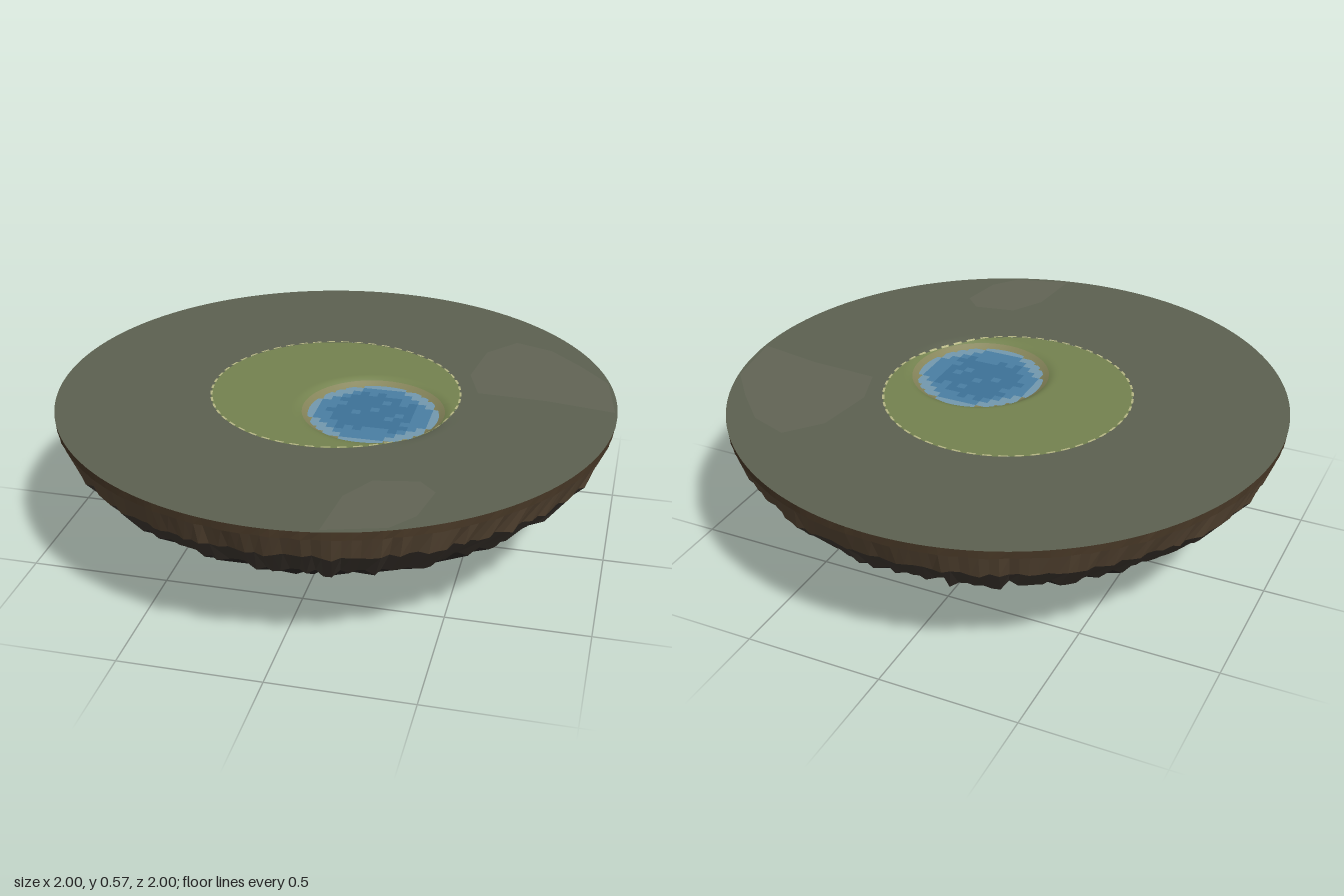
import * as THREE from 'three';
import { mergeGeometries } from 'three/addons/utils/BufferGeometryUtils.js';

const TOP = 0.57, RING = 0.447;
const POND = { x: 0.16, z: 0.105, r: 0.228, depth: 0.035 };
const CELL = 0.031;

// small seeded random
function makeRandom(seed) {
  return () => {
    seed = (seed * 1664525 + 1013904223) % 4294967296;
    return seed / 4294967296;
  };
}

// ground height: flat, dipping smoothly into the pond basin
function height(x, z) {
  const d = Math.hypot(x - POND.x, z - POND.z);
  return TOP - POND.depth * (1 - THREE.MathUtils.smoothstep(d, 0.2, 0.28));
}

function addMesh(group, name, geometry, color, flatShading = false) {
  const material = new THREE.MeshStandardMaterial({ color, flatShading, roughness: 1 });
  const mesh = new THREE.Mesh(geometry, material);
  mesh.name = name;
  group.add(mesh);
  return mesh;
}

// lay a flat XY geometry on the ground
function drape(geometry, x = 0, z = 0, lift = 0) {
  geometry.rotateX(-Math.PI / 2).translate(x, 0, z);
  const p = geometry.attributes.position;
  for (let i = 0; i < p.count; i++) p.setY(i, height(p.getX(i), p.getZ(i)) + lift);
  geometry.computeVertexNormals();
  return geometry;
}

// one ragged band of rock between two rings of points
function bandGeometry(upper, lower) {
  const pos = [], index = [], n = upper.length;
  for (const p of [...upper, ...lower]) pos.push(p.x, p.y, p.z);
  for (let i = 0; i < n; i++) {
    const j = (i + 1) % n;
    index.push(i, j, n + i, j, n + j, n + i);
  }
  const g = new THREE.BufferGeometry();
  g.setAttribute('position', new THREE.Float32BufferAttribute(pos, 3));
  // angle grows from +x toward -z, so flip the winding to face outward
  for (let k = 0; k < index.length; k += 3) [index[k + 1], index[k + 2]] = [index[k + 2], index[k + 1]];
  g.setIndex(index);
  g.computeVertexNormals();
  return g;
}

function addRock(group) {
  const random = makeRandom(17), n = 200;
  const column = Array.from({ length: n }, () => random());
  // radius, height, radial roughness, vertical roughness
  const levels = [
    [1.0, TOP, 0, 0], [0.998, 0.54, 0.004, 0.002], [0.975, 0.455, 0.03, 0.008],
    [0.875, 0.335, 0.05, 0.008], [0.66, 0.2, 0.045, 0.006], [0.375, 0.08, 0.03, 0.004], [0, 0, 0, 0],
  ];
  const colors = [0x4a3a28, 0x594835, 0x3f3831, 0x2e2a27, 0x201f1e, 0x1a1a1a];
  const names = ['rimEdge', 'soilBand', 'upperRock', 'middleRock', 'lowerRock', 'rockTip'];
  const rings = levels.map(([r, y, dr, dy]) => column.map((c, i) => {
    const a = (i / n) * Math.PI * 2;
    const rr = r - dr * (0.6 * c + 0.4 * random());
    return new THREE.Vector3(Math.cos(a) * rr, y + dy * (random() * 2 - 1), -Math.sin(a) * rr);
  }));
  names.forEach((name, i) => {
    // rings run anticlockwise seen from above; pass lower first to face outward
    addMesh(group, name, bandGeometry(rings[i], rings[i + 1]), colors[i], true);
  });
}

function addGround(group) {
  addMesh(group, 'outerGround', drape(new THREE.RingGeometry(RING, 1, 200, 24)), 0x5c6150);
  addMesh(group, 'innerGrass', drape(new THREE.RingGeometry(0, RING, 120, 40)), 0x74824f);
  addMesh(group, 'sandyShore', drape(new THREE.RingGeometry(0.18, 0.252, 64, 6), POND.x, POND.z, 0.001), 0x85845a);

  // pale worn patches reaching the rim
  const patches = [
    [[0.99, -0.05], [0.75, -0.09], [0.5, -0.1], [0.45, -0.25], [0.48, -0.47], [0.58, -0.59], [0.72, -0.54], [0.84, -0.42], [0.95, -0.29]],
    [[0.18, 0.97], [0.2, 0.75], [0.27, 0.63], [0.42, 0.6], [0.48, 0.66], [0.45, 0.82], [0.38, 0.91]],
  ];
  patches.forEach((pts) => {
    const shape = new THREE.Shape(pts.map(([x, z]) => new THREE.Vector2(x, -z)));
    addMesh(group, 'wornPatch', drape(new THREE.ShapeGeometry(shape), 0, 0, 0.001), 0x626455);
  });

  // dashed boundary circle
  const dashes = [], count = 52, step = (Math.PI * 2) / count;
  for (let i = 0; i < count; i++) {
    dashes.push(drape(new THREE.RingGeometry(RING - 0.004, RING + 0.004, 3, 1, i * step, step * 0.6), 0, 0, 0.003));
  }
  addMesh(group, 'dashedBoundary', mergeGeometries(dashes), 0xb5b583);
}

// stepped pond surface made of square cells, sorted by depth
function addPond(group) {
  const random = makeRandom(5), shades = { shallowWater: [], middleWater: [], deepWater: [] };
  for (let i = -8; i <= 8; i++) {
    for (let j = -8; j <= 8; j++) {
      const x = i * CELL, z = j * CELL, d = Math.hypot(x, z);
      if (d > POND.r) continue;
      const k = d + (random() - 0.5) * 0.05;
      const name = d > POND.r - 0.03 ? 'shallowWater' : k > 0.15 || random() < 0.12 ? 'middleWater' : 'deepWater';
      shades[name].push(new THREE.PlaneGeometry(CELL, CELL).rotateX(-Math.PI / 2)
        .translate(POND.x + x, TOP - 0.022, POND.z + z));
    }
  }
  const colors = { shallowWater: 0x7399ae, middleWater: 0x4a7fa3, deepWater: 0x3d7298 };
  for (const name in shades) addMesh(group, name, mergeGeometries(shades[name]), colors[name]);
}

export function createModel() {
  const island = new THREE.Group();
  island.name = 'floatingIsland';
  for (const [name, build] of [['rock', addRock], ['ground', addGround], ['pond', addPond]]) {
    const part = new THREE.Group();
    part.name = name;
    build(part);
    island.add(part);
  }
  return island;
}
